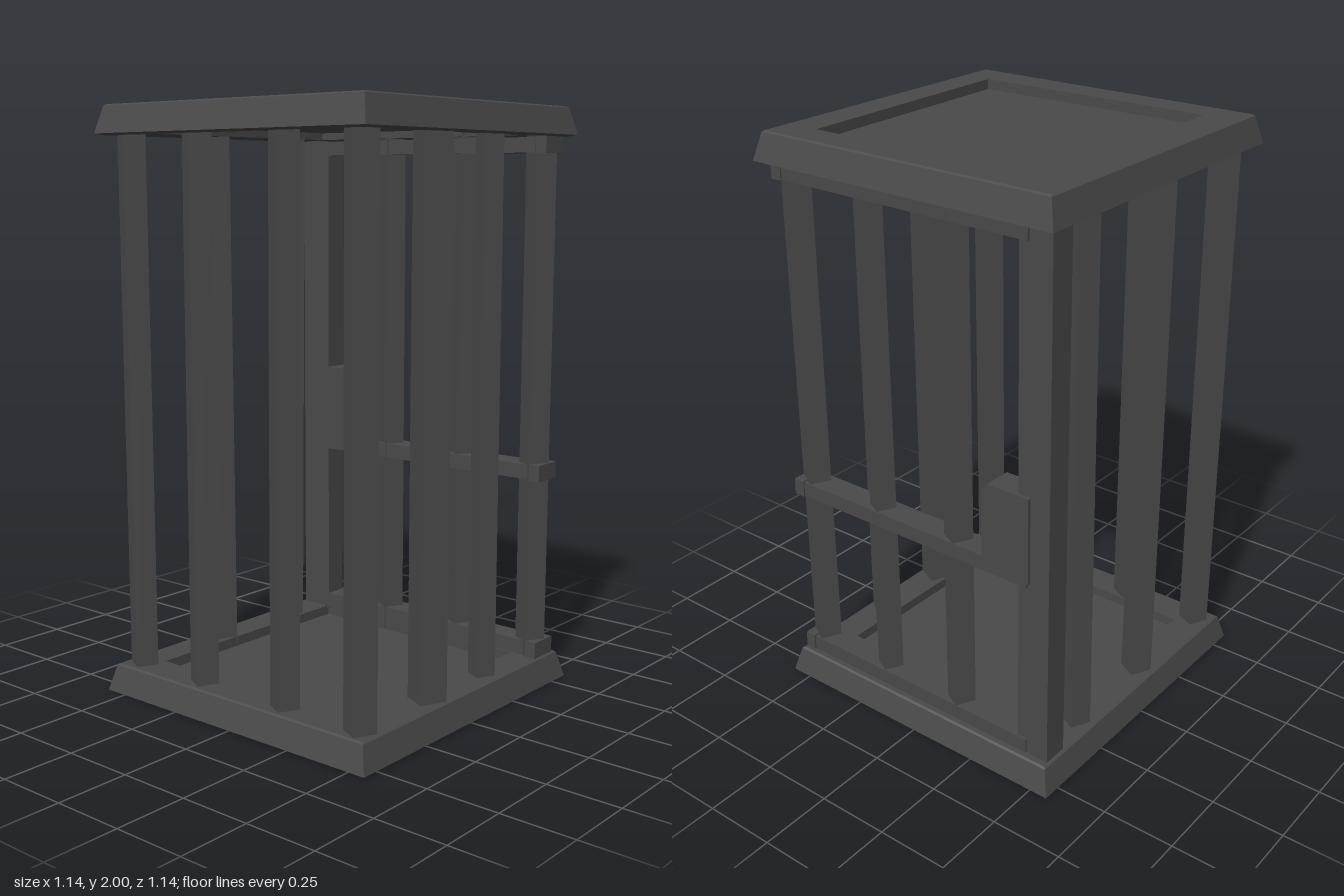
import * as THREE from 'three';

export function createModel() {
  const cage = new THREE.Group();
  cage.name = 'cage';
  const iron = new THREE.MeshStandardMaterial({ color: 0x4a4a4a });
  iron.name = 'dark iron';

  function add(name, geometry) {
    const flat = geometry.index ? geometry.toNonIndexed() : geometry;
    flat.computeVertexNormals();
    const mesh = new THREE.Mesh(flat, iron);
    mesh.name = name;
    cage.add(mesh);
    return mesh;
  }

  // Square tray: bevelled rim with a sunken panel above and below.
  const corners = [[-1, 1], [1, 1], [1, -1], [-1, -1]];
  function tray(name, y, skew) {
    const rings = [
      [0, 0.03, 0], [0.43, 0.03, skew], [0.43, 0.005, skew], [0.545, 0, 0], [0.57, 0.006, 0],
      [0.547, 0.095, 0], [0.54, 0.1, 0], [0.43, 0.1, skew], [0.43, 0.065, skew], [0, 0.065, 0],
    ];
    const points = [];
    for (const [r, h, turn] of rings) {
      for (const [cx, cz] of corners) {
        points.push(r * (cx - turn * cz), y + h, r * (cz + turn * cx));
      }
    }
    const faces = [];
    for (let i = 0; i < rings.length - 1; i++) {
      for (let k = 0; k < 4; k++) {
        const a = i * 4 + k, b = i * 4 + (k + 1) % 4;
        faces.push(a, b, b + 4, a, b + 4, a + 4);
      }
    }
    const g = new THREE.BufferGeometry();
    g.setAttribute('position', new THREE.Float32BufferAttribute(points, 3));
    g.setIndex(faces);
    add(name, g);
  }
  tray('base', 0, 0.015);
  tray('roof', 1.9, -0.017);

  // Upright bar, twisted about its axis and leaning from foot to head.
  function bar(name, foot, head, width = 0.075, twist = -0.47) {
    const g = new THREE.BoxGeometry(width, 1.86, width * 0.95);
    g.rotateY(twist);
    g.translate(0, 1, 0);
    const p = g.attributes.position;
    for (let i = 0; i < p.count; i++) {
      const t = p.getY(i) > 1 ? 1 : 0;
      p.setX(i, p.getX(i) + THREE.MathUtils.lerp(foot[0], head[0], t));
      p.setZ(i, p.getZ(i) + THREE.MathUtils.lerp(foot[1], head[1], t));
    }
    add(name, g);
  }
  bar('frontLeftPost', [0.47, 0.485], [0.472, 0.49], 0.075);
  bar('frontRightPost', [-0.483, 0.485], [-0.487, 0.49], 0.08);
  bar('backRightPost', [-0.48, -0.48], [-0.488, -0.48], 0.075);
  bar('frontBar', [-0.135, 0.48], [-0.13, 0.48], 0.095);
  bar('frontBar', [0.175, 0.48], [0.175, 0.48], 0.068);
  bar('backBar', [-0.09, -0.48], [-0.1, -0.48], 0.077);
  bar('backBar', [0.28, -0.48], [0.3, -0.48], 0.072);
  bar('sideBar', [-0.48, 0.175], [-0.48, 0.185]);
  bar('sideBar', [-0.48, -0.185], [-0.48, -0.185]);
  bar('doorBar', [0.475, 0.175], [0.475, 0.185], 0.068);
  bar('doorBar', [0.475, -0.145], [0.475, -0.145], 0.072);

  function block(name, x0, x1, y0, y1, z0, z1) {
    const g = new THREE.BoxGeometry(x1 - x0, y1 - y0, z1 - z0);
    g.translate((x0 + x1) / 2, (y0 + y1) / 2, (z0 + z1) / 2);
    return add(name, g);
  }

  // Hinge post and door stile standing side by side.
  block('backLeftPost', 0.43, 0.52, 0.08, 1.92, -0.535, -0.463);
  block('doorStile', 0.43, 0.515, 0.09, 1.9, -0.468, -0.415);

  // Door rails with collars around the swinging end.
  for (const [low, high] of [[0.1, 0.155], [0.733, 0.787], [1.847, 1.9]]) {
    block('doorRail', 0.43, 0.522, low, high - 0.002, -0.45, 0.5);
    block('railCollar', 0.418, 0.527, low - 0.002, high + 0.002, 0.5, 0.54);
  }

  // Lock box with clipped upper corner.
  const lock = new THREE.Shape();
  [[0.28, 0.75], [0.46, 0.75], [0.46, 1.05], [0.305, 1.05], [0.28, 1.025]]
    .forEach(([u, v], i) => (i ? lock.lineTo(u, v) : lock.moveTo(u, v)));
  const lockBox = new THREE.ExtrudeGeometry(lock, { depth: 0.097, bevelEnabled: false });
  lockBox.rotateY(Math.PI / 2);
  lockBox.translate(0.43, 0, 0);
  add('lock', lockBox);

  return cage;
}
